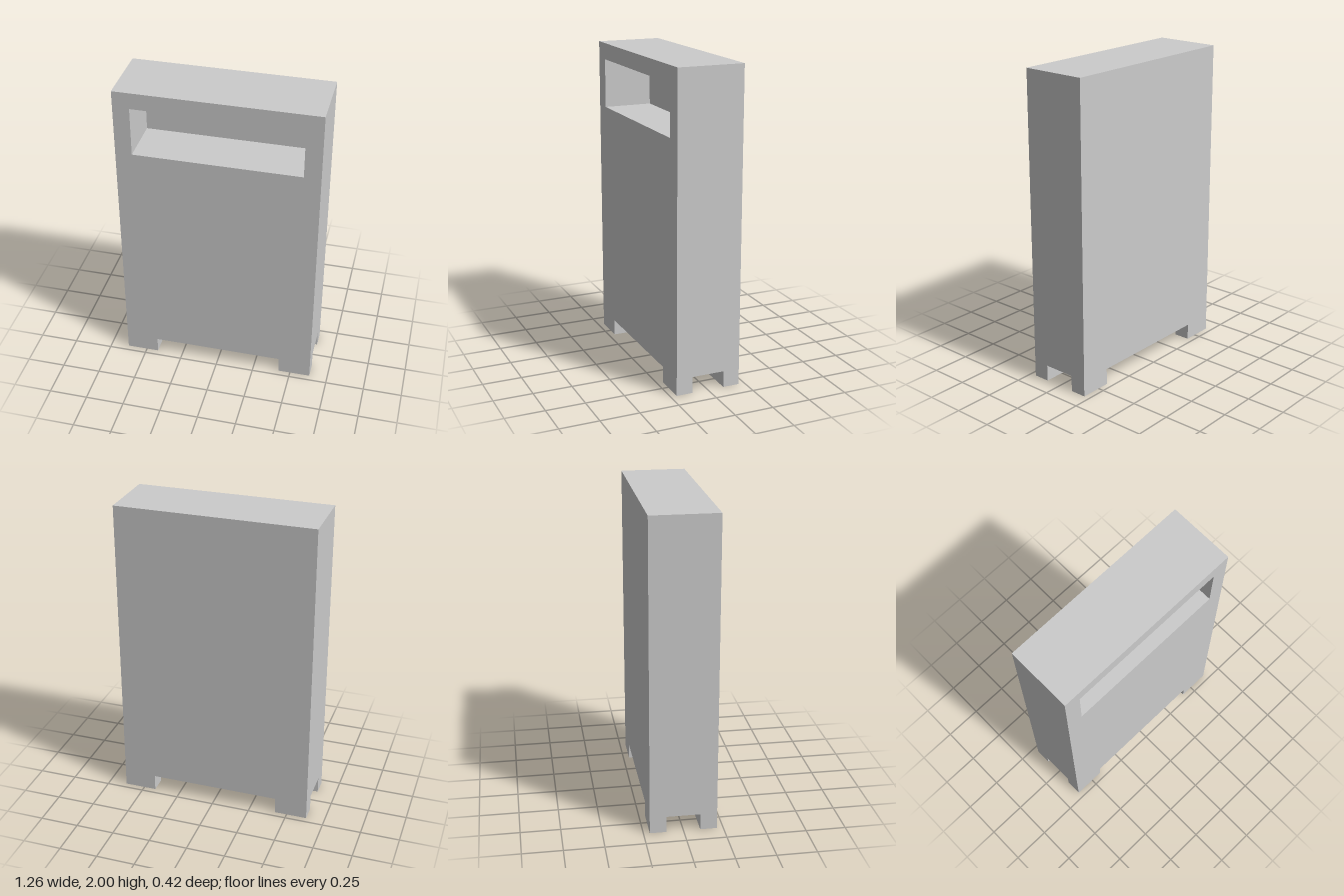
import * as THREE from 'three';

// Everything sits on a grid of 19 steps in height
const U = 2 / 19;
const W = 12 * U, D = 4 * U, H = 19 * U, FOOT = U;
const RECESS = { w: 10 * U, y0: 15 * U, y1: 18 * U, depth: 3 * U };
const FACE = { top: 2, front: 4 }; // side order in BoxGeometry

const material = new THREE.MeshStandardMaterial({ color: 0xcccccc, flatShading: true });

// Box with one side left out; inward turns its faces to the inside
function openBox(w, h, d, missing, inward = false) {
  const geometry = new THREE.BoxGeometry(w, h, d);
  const index = Array.from(geometry.index.array);
  index.splice(missing * 6, 6);
  if (inward) {
    index.reverse();
    const n = geometry.attributes.normal;
    for (let i = 0; i < n.array.length; i++) n.array[i] *= -1;
  }
  geometry.setIndex(index);
  geometry.clearGroups();
  return geometry;
}

// Adds a rectangle's four corners to a shape or path
function rectangle(path, w, y0, y1) {
  path.moveTo(-w / 2, y0);
  path.lineTo(w / 2, y0);
  path.lineTo(w / 2, y1);
  path.lineTo(-w / 2, y1);
  path.closePath();
  return path;
}

export function createModel() {
  const group = new THREE.Group();
  const add = (name, geometry, x, y, z) => {
    const mesh = new THREE.Mesh(geometry, material);
    mesh.name = name;
    mesh.position.set(x, y, z);
    group.add(mesh);
  };

  // Cabinet sides, back, top and underside
  add('body', openBox(W, H - FOOT, D, FACE.front), 0, (H + FOOT) / 2, 0);

  // Front face with the opening cut out
  const front = rectangle(new THREE.Shape(), W, FOOT, H);
  front.holes.push(rectangle(new THREE.Path(), RECESS.w, RECESS.y0, RECESS.y1));
  add('frontPanel', new THREE.ShapeGeometry(front), 0, 0, D / 2);

  // Walls, floor and back of the open compartment
  add('compartment',
    openBox(RECESS.w, RECESS.y1 - RECESS.y0, RECESS.depth, FACE.front, true),
    0, (RECESS.y0 + RECESS.y1) / 2, D / 2 - RECESS.depth / 2);

  // Four corner feet
  for (const sx of [1, -1]) {
    for (const sz of [1, -1]) {
      const name = (sz > 0 ? 'front' : 'back') + (sx > 0 ? 'Left' : 'Right') + 'Foot';
      add(name, openBox(2 * U, FOOT, U, FACE.top), sx * (W / 2 - U), FOOT / 2, sz * (D / 2 - U / 2));
    }
  }
  return group;
}
